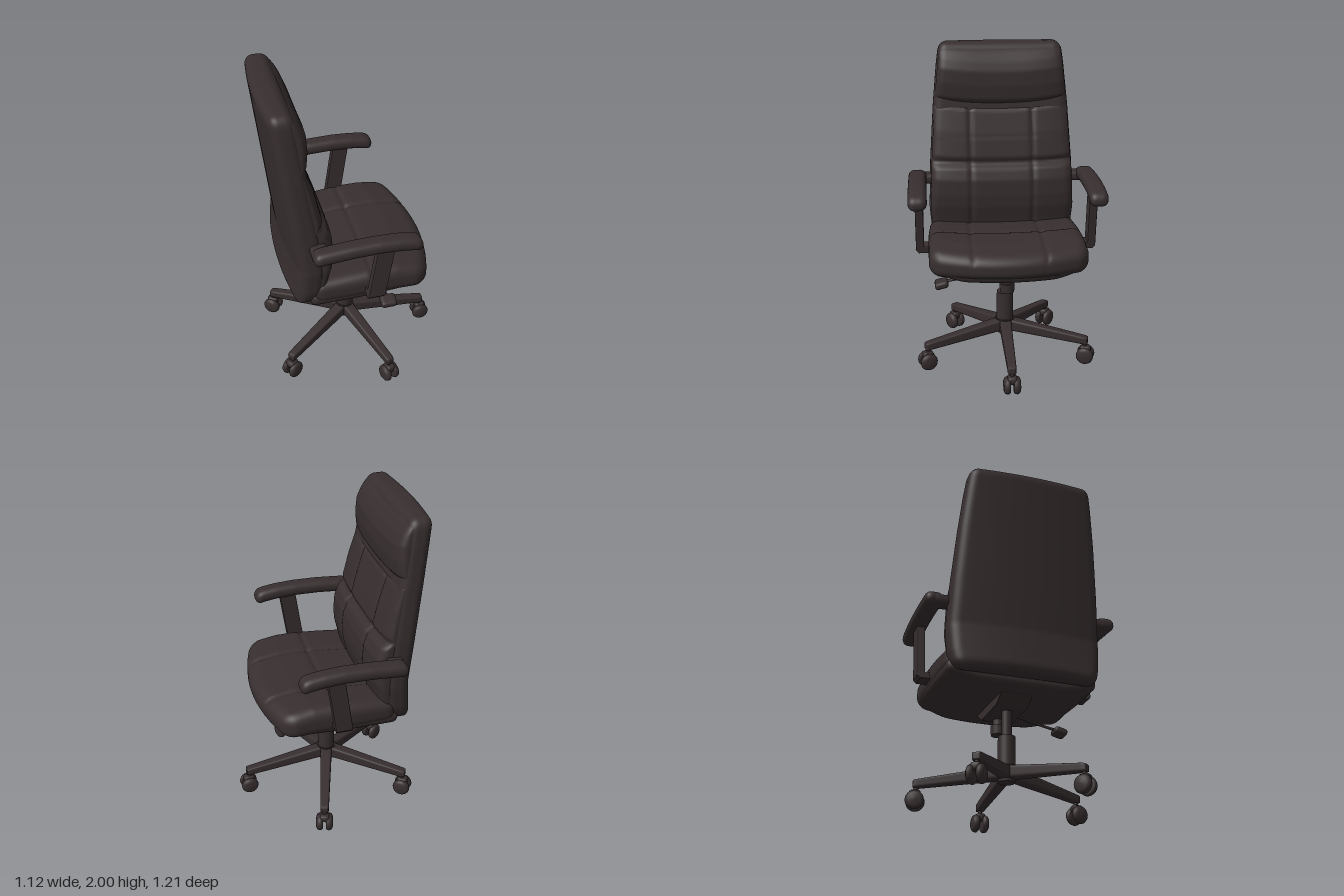
import * as THREE from 'three';
import { mergeVertices } from 'three/addons/utils/BufferGeometryUtils.js';

const leather = new THREE.MeshStandardMaterial({ color: 0x372e2f });
leather.name = 'dark brown';

function part(name, geometry, parent, x = 0, y = 0, z = 0) {
  const mesh = new THREE.Mesh(geometry, leather);
  mesh.name = name;
  mesh.position.set(x, y, z);
  parent.add(mesh);
  return mesh;
}

// Piecewise linear lookup in a list of [key, value] pairs
function lookup(table, t) {
  if (t <= table[0][0]) return table[0][1];
  for (let i = 1; i < table.length; i++) {
    const [a, va] = table[i - 1], [b, vb] = table[i];
    if (t <= b) return va + (vb - va) * (t - a) / (b - a);
  }
  return table[table.length - 1][1];
}

const groove = (d, width = 0.014) => Math.exp(-((d / width) ** 2));

// Smooth rounded box whose vertices are then moved by a rule
function softBox(w, h, d, r, segs, deform) {
  const raw = new THREE.BoxGeometry(w, h, d, ...segs);
  raw.deleteAttribute('uv');
  raw.deleteAttribute('normal');
  const g = mergeVertices(raw, 1e-5);
  const pos = g.attributes.position;
  const inner = new THREE.Vector3(w / 2 - r, h / 2 - r, d / 2 - r);
  const low = inner.clone().negate();
  const p = new THREE.Vector3(), c = new THREE.Vector3();
  for (let i = 0; i < pos.count; i++) {
    p.fromBufferAttribute(pos, i);
    c.copy(p).clamp(low, inner);
    p.sub(c).setLength(r).add(c);
    if (deform) deform(p);
    pos.setXYZ(i, p.x, p.y, p.z);
  }
  g.computeVertexNormals();
  return g;
}

function extrude(points, depth, bevel = 0.006) {
  const shape = new THREE.Shape(points.map(([x, y]) => new THREE.Vector2(x, y)));
  const g = new THREE.ExtrudeGeometry(shape, {
    depth: depth - 2 * bevel, bevelSize: bevel, bevelThickness: bevel, bevelOffset: -bevel, bevelSegments: 2,
  });
  return g.translate(0, 0, bevel - depth / 2);
}

// Backrest profiles by height
const halfWidth = [[0.69, 0.43], [0.8, 0.46], [0.95, 0.472], [1.25, 0.46], [1.6, 0.435], [1.85, 0.41], [2, 0.39]];
const backLine = [[0.69, -0.47], [0.8, -0.46], [0.97, -0.447], [1.13, -0.465], [1.5, -0.505], [2, -0.56]];
const shellLine = [[0.69, -0.34], [0.8, -0.26], [0.95, -0.25], [1.2, -0.27], [1.5, -0.32], [2, -0.39]];
const padLine = [[0.7, -0.25], [0.89, -0.21], [0.97, -0.19], [1.05, -0.183], [1.15, -0.188], [1.22, -0.212], [1.255, -0.258],
  [1.29, -0.242], [1.45, -0.277], [1.59, -0.318], [1.622, -0.352], [1.66, -0.318], [1.75, -0.308], [1.84, -0.312],
  [1.9, -0.335], [1.95, -0.365], [2, -0.41]];

function buildBackrest(parent) {
  const back = new THREE.Group();
  back.name = 'backrest';
  parent.add(back);
  part('backShell', softBox(0.16, 1.31, 0.9, 0.06, [14, 80, 60], (p) => {
    p.y += 1.345;
    const t = p.x / 0.16 + 0.5;
    p.z *= lookup(halfWidth, p.y) / 0.45;
    const rear = lookup(backLine, p.y) + 0.2 * p.z * p.z;
    p.x = rear + (lookup(shellLine, p.y) - rear) * t;
  }), back);
  part('backCushion', softBox(0.14, 1.2, 0.9, 0.055, [14, 100, 80], (p) => {
    p.y += 1.385;
    const t = p.x / 0.14 + 0.5, edge = Math.abs(p.z) / 0.45;
    const seamY = p.y + 0.03 * (0.6 - edge * edge) * (p.y > 1.4 ? 1 : 0.4);
    p.z *= (lookup(halfWidth, p.y) - 0.008) / 0.45;
    const rear = lookup(shellLine, p.y) - 0.06;
    let front = lookup(padLine, seamY) - 0.025 * edge ** 4;
    if (seamY < 1.62) front -= 0.012 * groove(Math.abs(p.z) - 0.2);
    p.x = rear + (front - rear) * t;
  }), back);
}

function buildSeat(parent) {
  const seat = new THREE.Group();
  seat.name = 'seat';
  parent.add(seat);
  const bow = (p) => {
    const f = THREE.MathUtils.smoothstep(p.x, -0.1, 0.45);
    p.x -= 0.42 * p.z * p.z * f;
    p.z *= 1 - 0.03 * THREE.MathUtils.smoothstep(-p.x, 0, 0.4);
  };
  const topLine = [[-0.35, -0.04], [-0.1, -0.015], [0.1, 0], [0.25, 0], [0.36, -0.015], [0.46, -0.035]];
  part('seatCushion', softBox(0.8, 0.19, 0.97, 0.075, [64, 14, 76], (p) => {
    p.x += 0.06;
    const top = THREE.MathUtils.clamp(p.y / 0.19 + 0.5, 0, 1);
    const seams = groove(p.x - 0.04) + groove(Math.abs(p.z) - 0.22);
    p.y += 0.803 + top * (lookup(topLine, p.x) - 0.01 * seams - 0.015 * (1 - (p.z / 0.45) ** 2));
    bow(p);
  }), seat);
  part('seatPan', softBox(0.79, 0.09, 0.95, 0.04, [40, 8, 48], (p) => {
    p.x += 0.045;
    p.y += 0.712 + 0.05 * p.x + 0.04 * THREE.MathUtils.smoothstep(Math.abs(p.z), 0.25, 0.5);
    bow(p);
  }), seat);
}

function buildArm(parent, side) {
  const arm = new THREE.Group();
  arm.name = side > 0 ? 'leftArm' : 'rightArm';
  parent.add(arm);
  const rise = [[-0.35, 1.148], [-0.27, 1.158], [-0.12, 1.17], [0.04, 1.174], [0.16, 1.168], [0.24, 1.157], [0.3, 1.142]];
  part('armPad', softBox(0.65, 0.085, 0.115, 0.04, [50, 10, 12], (p) => {
    p.x -= 0.025;
    p.y += lookup(rise, p.x);
  }), arm, 0, 0, side * 0.545);
  part('armRearBracket', softBox(0.1, 0.06, 0.16, 0.02, [8, 6, 8]), arm, -0.3, 1.145, side * 0.48);
  // Bent post, leaning forward as it rises
  const post = extrude([[0.43, 0.765], [0.545, 0.765], [0.563, 0.785], [0.563, 1.15], [0.512, 1.15], [0.512, 0.81], [0.43, 0.81]], 0.105);
  post.rotateY(-Math.PI / 2);
  const pos = post.attributes.position;
  for (let i = 0; i < pos.count; i++) pos.setX(i, pos.getX(i) + 0.028 + (pos.getY(i) - 0.765) * 0.15);
  if (side < 0) post.rotateY(Math.PI).scale(-1, 1, 1);
  if (side < 0) flip(post);
  post.computeVertexNormals();
  part('armPost', post, arm);
}

// Reverse the corner order of a mirrored, unindexed geometry
function flip(g) {
  const pos = g.attributes.position, a = new THREE.Vector3(), b = new THREE.Vector3();
  for (let i = 0; i < pos.count; i += 3) {
    a.fromBufferAttribute(pos, i + 1);
    b.fromBufferAttribute(pos, i + 2);
    pos.setXYZ(i + 1, b.x, b.y, b.z);
    pos.setXYZ(i + 2, a.x, a.y, a.z);
  }
}

function buildMechanism(parent) {
  const mech = new THREE.Group();
  mech.name = 'tiltMechanism';
  parent.add(mech);
  part('seatPlate', extrude([[-0.23, 0.655], [-0.13, 0.61], [0.17, 0.615], [0.26, 0.67], [0.26, 0.69], [-0.23, 0.69]], 0.2), mech);
  part('tensionKnob', new THREE.CylinderGeometry(0.048, 0.045, 0.06, 24), mech, 0.14, 0.547, 0);
  part('knobNeck', new THREE.CylinderGeometry(0.036, 0.036, 0.07, 20), mech, 0.14, 0.605, 0);
  const path = new THREE.CatmullRomCurve3([[0.05, 0.635, 0.05], [0.09, 0.625, 0.16], [0.14, 0.615, 0.3], [0.15, 0.6, 0.4]]
    .map((p) => new THREE.Vector3(...p)));
  part('lever', new THREE.TubeGeometry(path, 16, 0.009, 8), mech);
  part('leverPaddle', softBox(0.1, 0.045, 0.085, 0.018, [10, 6, 8]), mech, 0.15, 0.588, 0.41).rotation.x = 0.25;
}

function buildBase(parent) {
  const base = new THREE.Group();
  base.name = 'base';
  base.position.x = -0.025;
  parent.add(base);
  part('gasLift', new THREE.CylinderGeometry(0.032, 0.032, 0.22, 24), base, 0, 0.53, 0);
  part('columnSleeve', new THREE.CylinderGeometry(0.053, 0.055, 0.25, 28), base, 0, 0.325, 0);
  part('hub', new THREE.CylinderGeometry(0.062, 0.05, 0.1, 28), base, 0, 0.215, 0);

  const legGeo = softBox(0.53, 0.07, 0.07, 0.014, [30, 10, 10], (p) => {
    const t = p.x / 0.53 + 0.5;
    p.y = p.y * (1.15 - 0.45 * t) + 0.225 - 0.07 * t;
    p.z *= 1.1 - 0.35 * t;
    p.x += 0.285;
  });
  const rim = [[0, -0.021], [0.045, -0.021], [0.054, -0.013], [0.056, 0], [0.05, 0.013], [0.036, 0.021], [0, 0.024]];
  const wheelGeo = new THREE.LatheGeometry(rim.map(([r, y]) => new THREE.Vector2(r, y)), 24).rotateX(Math.PI / 2);
  for (let i = 0; i < 5; i++) {
    const leg = new THREE.Group();
    leg.name = 'leg' + (i + 1);
    leg.rotation.y = i * Math.PI * 2 / 5;
    base.add(leg);
    part('legArm', legGeo, leg);
    part('casterStem', new THREE.CylinderGeometry(0.014, 0.014, 0.08, 12), leg, 0.53, 0.12, 0);
    part('casterHood', softBox(0.07, 0.05, 0.06, 0.018, [8, 6, 6]), leg, 0.535, 0.095, 0);
    for (const s of [1, -1]) {
      const wheel = part('casterWheel', wheelGeo, leg, 0.535, 0.056, s * 0.031);
      if (s < 0) wheel.rotation.y = Math.PI;
    }
  }
}

export function createModel() {
  const chair = new THREE.Group();
  chair.name = 'officeChair';
  buildBackrest(chair);
  buildSeat(chair);
  for (const side of [1, -1]) buildArm(chair, side);
  buildMechanism(chair);
  buildBase(chair);
  return chair;
}
